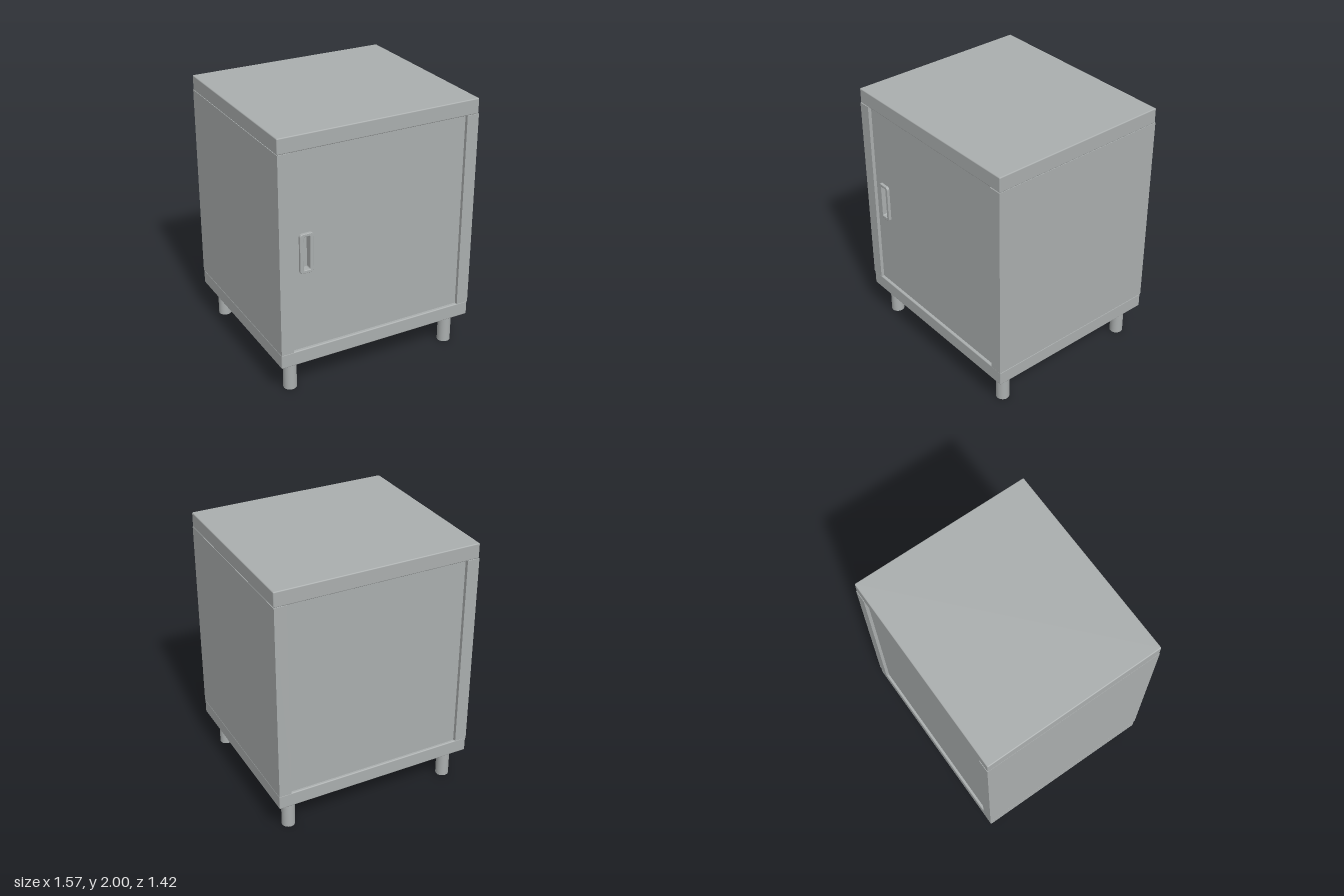
import * as THREE from 'three';
import { RoundedBoxGeometry } from 'three/addons/geometries/RoundedBoxGeometry.js';

export function createModel() {
  const group = new THREE.Group();
  group.name = 'cabinet';
  const steel = new THREE.MeshStandardMaterial({ color: 0xaaaeae });
  steel.name = 'brushed grey';

  const add = (name, geometry, x, y, z) => {
    const mesh = new THREE.Mesh(geometry, steel);
    mesh.name = name;
    mesh.position.set(x, y, z);
    group.add(mesh);
    return mesh;
  };

  // Rounded rectangle outline centred on (cx, cy)
  const roundedRect = (target, cx, cy, w, h, r) => {
    const x = cx - w / 2, y = cy - h / 2;
    target.moveTo(x + r, y);
    target.lineTo(x + w - r, y);
    target.absarc(x + w - r, y + r, r, -Math.PI / 2, 0);
    target.lineTo(x + w, y + h - r);
    target.absarc(x + w - r, y + h - r, r, 0, Math.PI / 2);
    target.lineTo(x + r, y + h);
    target.absarc(x + r, y + h - r, r, Math.PI / 2, Math.PI);
    target.lineTo(x, y + r);
    target.absarc(x + r, y + r, r, Math.PI, Math.PI * 1.5);
    return target;
  };

  // Top and base slabs
  add('topSlab', new RoundedBoxGeometry(1.57, 0.115, 1.41, 2, 0.008), 0, 1.9425, 0);
  add('baseSlab', new RoundedBoxGeometry(1.57, 0.112, 1.41, 2, 0.008), 0, 0.306, 0);

  // Side walls, folded inwards into corner posts at front and back
  const wallBottom = 0.362, wallHeight = 1.523;
  for (const side of [1, -1]) {
    const plan = new THREE.Shape([
      [0.785, 0.708], [0.69, 0.708], [0.69, 0.62], [0.755, 0.62],
      [0.755, -0.62], [0.69, -0.62], [0.69, -0.708], [0.785, -0.708],
    ].map(([x, z]) => new THREE.Vector2(side * x, z)));
    const wall = new THREE.ExtrudeGeometry(plan, { depth: wallHeight, bevelEnabled: false });
    wall.rotateX(-Math.PI / 2);
    add(side > 0 ? 'leftWall' : 'rightWall', wall, 0, wallBottom, 0);
  }

  // Recessed back panel
  add('backPanel', new THREE.BoxGeometry(1.374, wallHeight, 0.03), 0, wallBottom + wallHeight / 2, -0.67);

  // Door with a slot cut through it for the grip
  const gripX = -0.575, gripY = 1.123;
  const doorShape = new THREE.Shape([
    new THREE.Vector2(-0.686, 0.365), new THREE.Vector2(0.688, 0.365),
    new THREE.Vector2(0.688, 1.882), new THREE.Vector2(-0.686, 1.882),
  ]);
  doorShape.holes.push(roundedRect(new THREE.Path(), gripX, gripY, 0.05, 0.255, 0.008));
  add('door', new THREE.ExtrudeGeometry(doorShape, { depth: 0.04, bevelEnabled: false }), 0, 0, 0.645);

  // Raised grip frame and the recessed plate behind its slot
  const frameShape = roundedRect(new THREE.Shape(), gripX, gripY, 0.098, 0.296, 0.018);
  frameShape.holes.push(roundedRect(new THREE.Path(), gripX, gripY, 0.058, 0.263, 0.01));
  add('handleFrame', new THREE.ExtrudeGeometry(frameShape, {
    depth: 0.014, bevelThickness: 0.006, bevelSize: 0.004, bevelSegments: 2, curveSegments: 6,
  }), 0, 0, 0.685);
  add('handleRecess', new THREE.BoxGeometry(0.07, 0.28, 0.01), gripX, gripY, 0.645);

  // Four round legs
  const leg = new THREE.CylinderGeometry(0.05, 0.05, 0.26, 32);
  for (const x of [-0.667, 0.667]) {
    for (const z of [-0.587, 0.587]) {
      add(`${z > 0 ? 'front' : 'back'}${x > 0 ? 'Left' : 'Right'}Leg`, leg, x, 0.13, z);
    }
  }
  return group;
}
